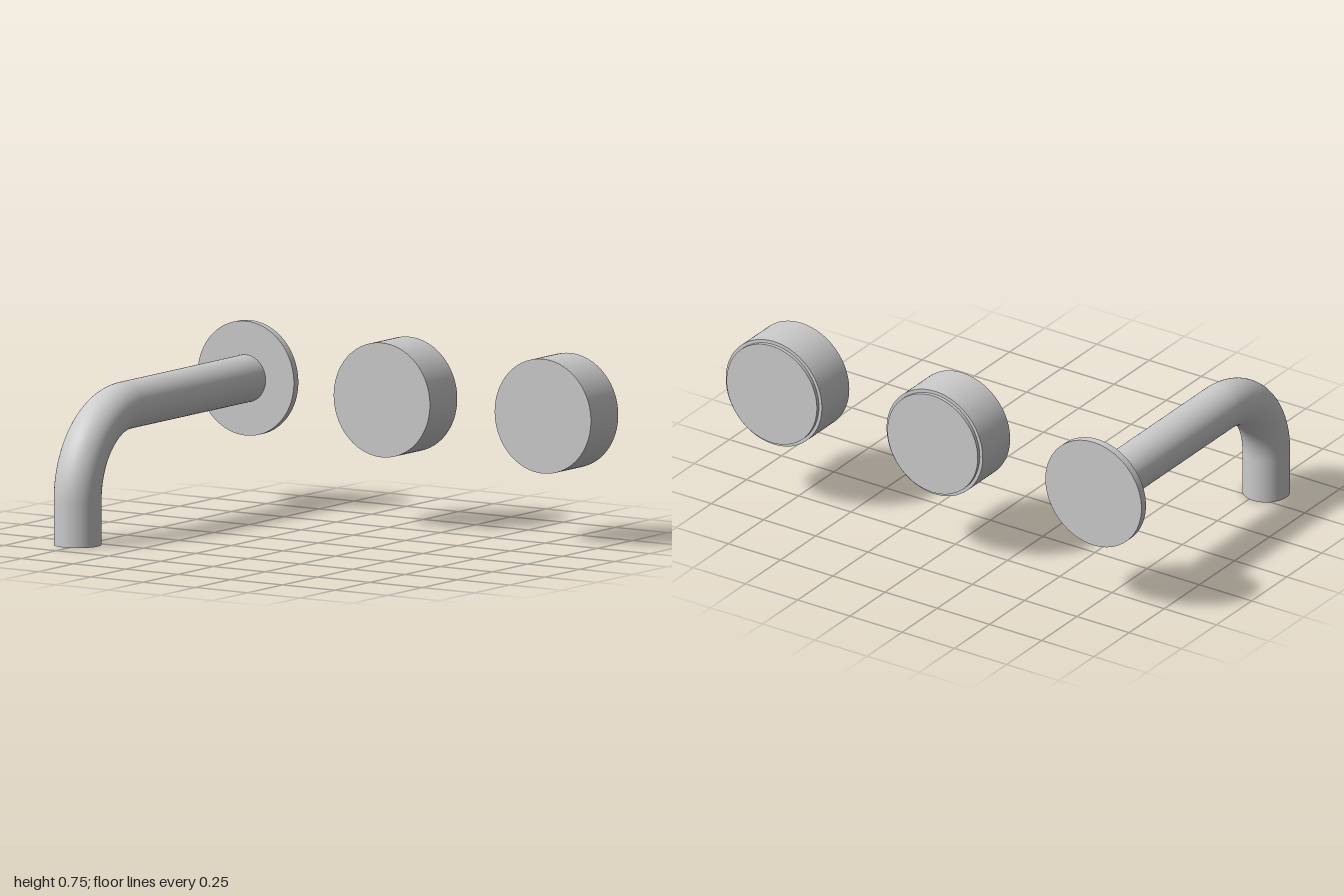
import * as THREE from 'three';

const AXIS_Y = 0.517;
const BACK_Z = -0.662;

const material = new THREE.MeshStandardMaterial({ color: 0xcccccc });
const openMaterial = new THREE.MeshStandardMaterial({ color: 0xcccccc, side: THREE.DoubleSide });

// Disc with its axis along z, spanning z0 to z1
function disc(name, radius, z0, z1) {
  const geometry = new THREE.CylinderGeometry(radius, radius, z1 - z0, 96).rotateX(Math.PI / 2);
  const mesh = new THREE.Mesh(geometry, material);
  mesh.name = name;
  mesh.position.z = (z0 + z1) / 2;
  return mesh;
}

// Round handle with a slightly smaller step against the wall
function createHandle(name, x) {
  const handle = new THREE.Group();
  handle.name = name;
  handle.position.set(x, AXIS_Y, 0);
  handle.add(disc('handleBody', 0.23, -0.647, -0.452));
  handle.add(disc('handleBase', 0.216, BACK_Z, -0.647));
  return handle;
}

// Wall flange and bent pipe, open at the outlet
function createSpout(x) {
  const spout = new THREE.Group();
  spout.name = 'spout';
  spout.position.set(x, AXIS_Y, 0);
  spout.add(disc('wallFlange', 0.23, BACK_Z, -0.63));

  const tipZ = 0.568, bend = 0.337, k = bend * 0.5523;
  const v = (y, z) => new THREE.Vector3(0, y, z);
  const path = new THREE.CurvePath();
  path.add(new THREE.LineCurve3(v(0, -0.635), v(0, tipZ - bend)));
  path.add(new THREE.CubicBezierCurve3(
    v(0, tipZ - bend), v(0, tipZ - bend + k), v(-bend + k, tipZ), v(-bend, tipZ)));
  path.add(new THREE.LineCurve3(v(-bend, tipZ), v(-AXIS_Y, tipZ)));

  const pipe = new THREE.Mesh(new THREE.TubeGeometry(path, 140, 0.095, 64), openMaterial);
  pipe.name = 'spoutPipe';
  spout.add(pipe);
  return spout;
}

export function createModel() {
  const model = new THREE.Group();
  model.name = 'wallTapSet';
  model.add(createSpout(-0.77));
  model.add(createHandle('middleHandle', 0));
  model.add(createHandle('leftHandle', 0.77));
  return model;
}
